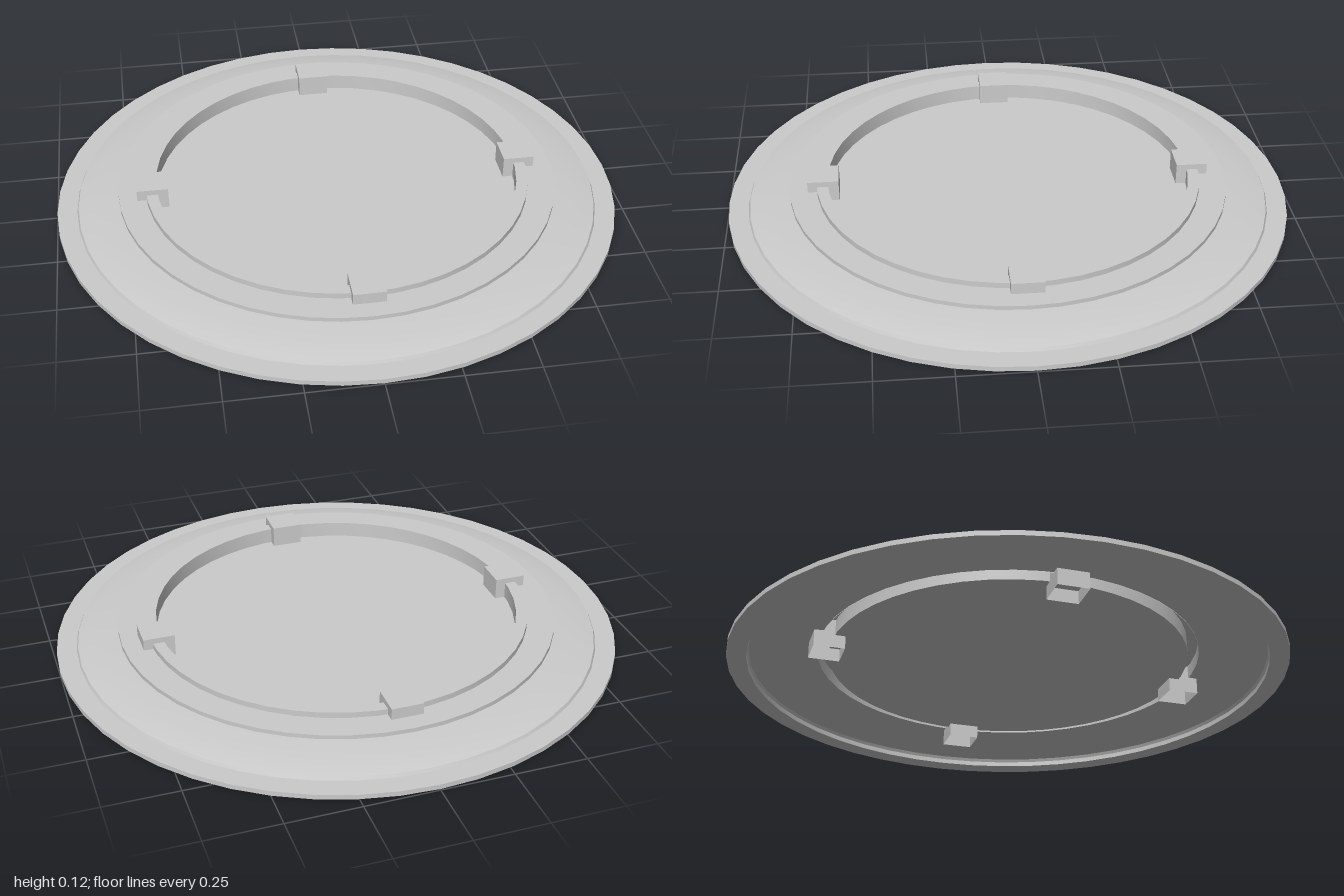
import * as THREE from 'three';
import { toCreasedNormals } from 'three/addons/utils/BufferGeometryUtils.js';

const SEGMENTS = 48;

export function createModel() {
  const model = new THREE.Group();
  const material = new THREE.MeshStandardMaterial({ color: 0xcccccc, side: THREE.DoubleSide });

  // Revolves a profile of [radius, height] points, keeping its corners sharp.
  function revolve(name, profile) {
    const points = profile.map(([r, y]) => new THREE.Vector2(r, y));
    const geometry = toCreasedNormals(new THREE.LatheGeometry(points, SEGMENTS), 0.5);
    const mesh = new THREE.Mesh(geometry, material);
    mesh.name = name;
    model.add(mesh);
  }

  // Flat outer flange
  revolve('flange', [[0.93, 0.004], [1, 0.004], [1, 0.021], [0.93, 0.021], [0.93, 0.004]]);

  // Shallow domed shell, open underneath
  revolve('dome', [
    [0.93, 0.021], [0.925, 0.032], [0.89, 0.04], [0.84, 0.047],
    [0.78, 0.054], [0.73, 0.058], [0.685, 0.06],
  ]);

  // Thin collar standing out above the dome
  revolve('collar', [[0.685, 0.069], [0.78, 0.069], [0.78, 0.084], [0.685, 0.084]]);

  // Raised rim, hollow from below, with the recessed floor inside it
  revolve('rim', [[0.685, 0.057], [0.685, 0.104], [0.645, 0.104], [0.645, 0.047]]);
  revolve('floor', [[0.645, 0.047], [0, 0.047]]);

  // Four clamp blocks over the rim, open at the bottom
  const blockGeometry = new THREE.BoxGeometry(0.11, 0.124, 0.11);
  const faces = Array.from(blockGeometry.index.array);
  faces.splice(18, 6); // remove the bottom face
  blockGeometry.setIndex(faces);
  blockGeometry.clearGroups();
  for (let i = 0; i < 4; i++) {
    const angle = (i * Math.PI) / 2;
    const block = new THREE.Mesh(blockGeometry, material);
    block.name = `clampBlock${i + 1}`;
    block.position.set(0.66 * Math.cos(angle), 0.062, 0.66 * Math.sin(angle));
    model.add(block);
  }

  return model;
}
